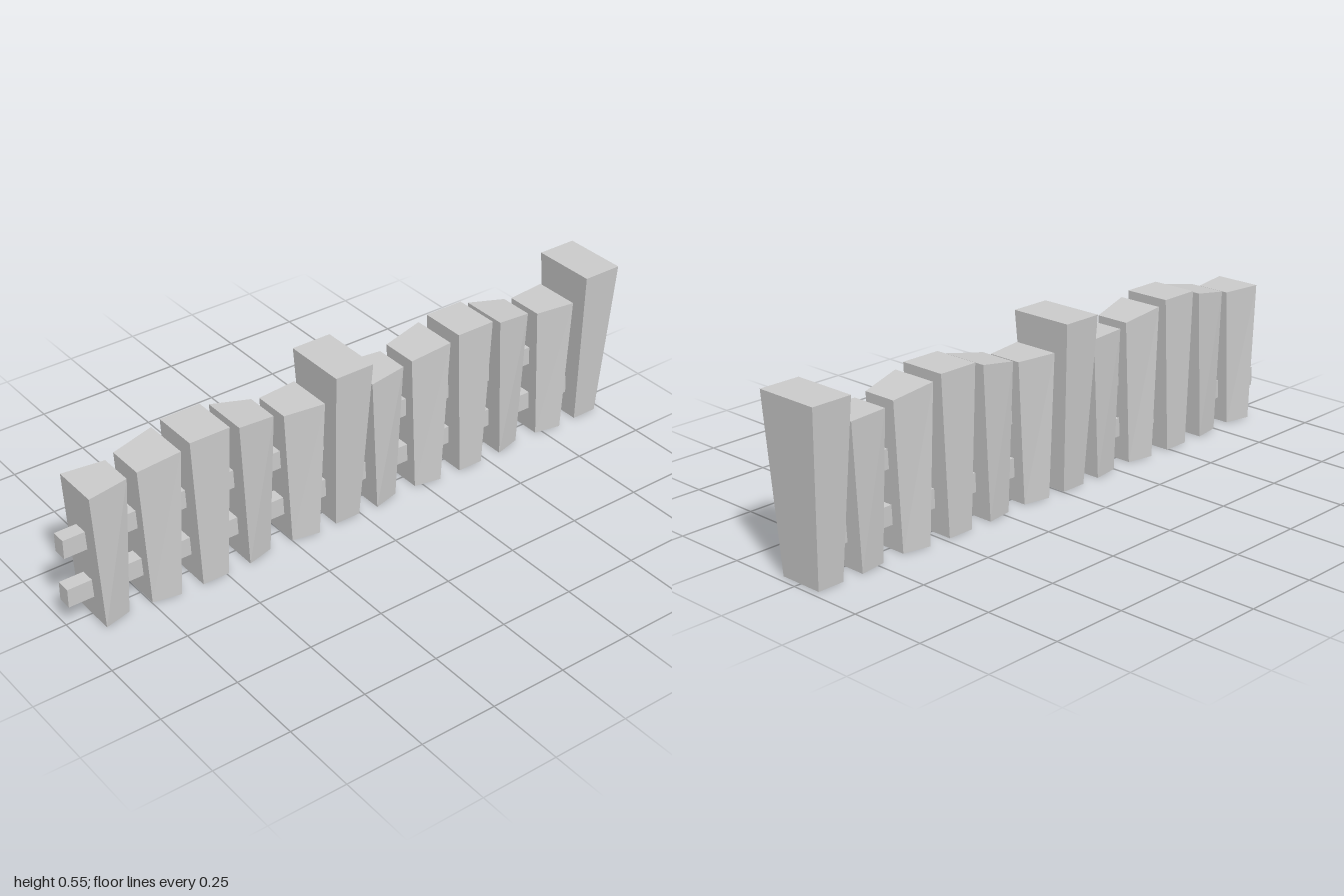
import * as THREE from 'three';

const material = new THREE.MeshStandardMaterial({ color: 0xcccccc, flatShading: true });

// Block standing on y = 0, thinner in z at its foot.
// front / back: { l, r } foot edges, { tl, tr } top edges, h height.
function taperedBlock(name, zc, front, back) {
  const geo = new THREE.BoxGeometry(2, 2, 2);
  const p = geo.attributes.position;
  for (let i = 0; i < p.count; i++) {
    const right = p.getX(i) > 0, top = p.getY(i) > 0, sz = Math.sign(p.getZ(i));
    const s = sz > 0 ? front : back;
    const x = top ? (right ? s.tr : s.tl) : (right ? s.r : s.l);
    p.setXYZ(i, x, top ? s.h : 0, zc + sz * (top ? 0.0675 : 0.0445));
  }
  const flat = geo.toNonIndexed();
  flat.computeVertexNormals();
  const mesh = new THREE.Mesh(flat, material);
  mesh.name = name;
  return mesh;
}

const side = (l, r, h) => ({ l, r, tl: l, tr: r, h });
const wide = (h) => side(-0.075, 0.08, h);
const narrowFront = (h) => side(-0.062, 0.062, h);
const narrowBack = (h) => side(-0.057, 0.057, h);
const postSide = { l: -0.075, r: 0.073, tl: -0.108, tr: 0.107, h: 0.548 };

export function createModel() {
  const fence = new THREE.Group();
  fence.name = 'fence';

  // One bay: five pickets rising to the middle, then a taller post
  const bay = [
    ['picket', wide(0.457), narrowBack(0.457)],
    ['picket', narrowFront(0.468), wide(0.493)],
    ['picket', wide(0.508), wide(0.508)],
    ['picket', wide(0.493), narrowBack(0.468)],
    ['picket', narrowFront(0.457), wide(0.457)],
    ['post', postSide, postSide],
  ];
  const centres = [
    [0.868, 0.703, 0.538, 0.371, 0.204, 0.048],
    [-0.106, -0.269, -0.436, -0.602, -0.772, -0.9325],
  ];
  for (const row of centres) {
    bay.forEach(([name, front, back], i) => fence.add(taperedBlock(name, row[i], front, back)));
  }

  // Two rails running through everything and ending inside the last post
  for (const [name, y] of [['lowerRail', 0.111], ['upperRail', 0.283]]) {
    const rail = new THREE.Mesh(new THREE.BoxGeometry(0.047, 0.062, 1.93), material);
    rail.position.set(0.0035, y, 0.035);
    rail.name = name;
    fence.add(rail);
  }
  return fence;
}
